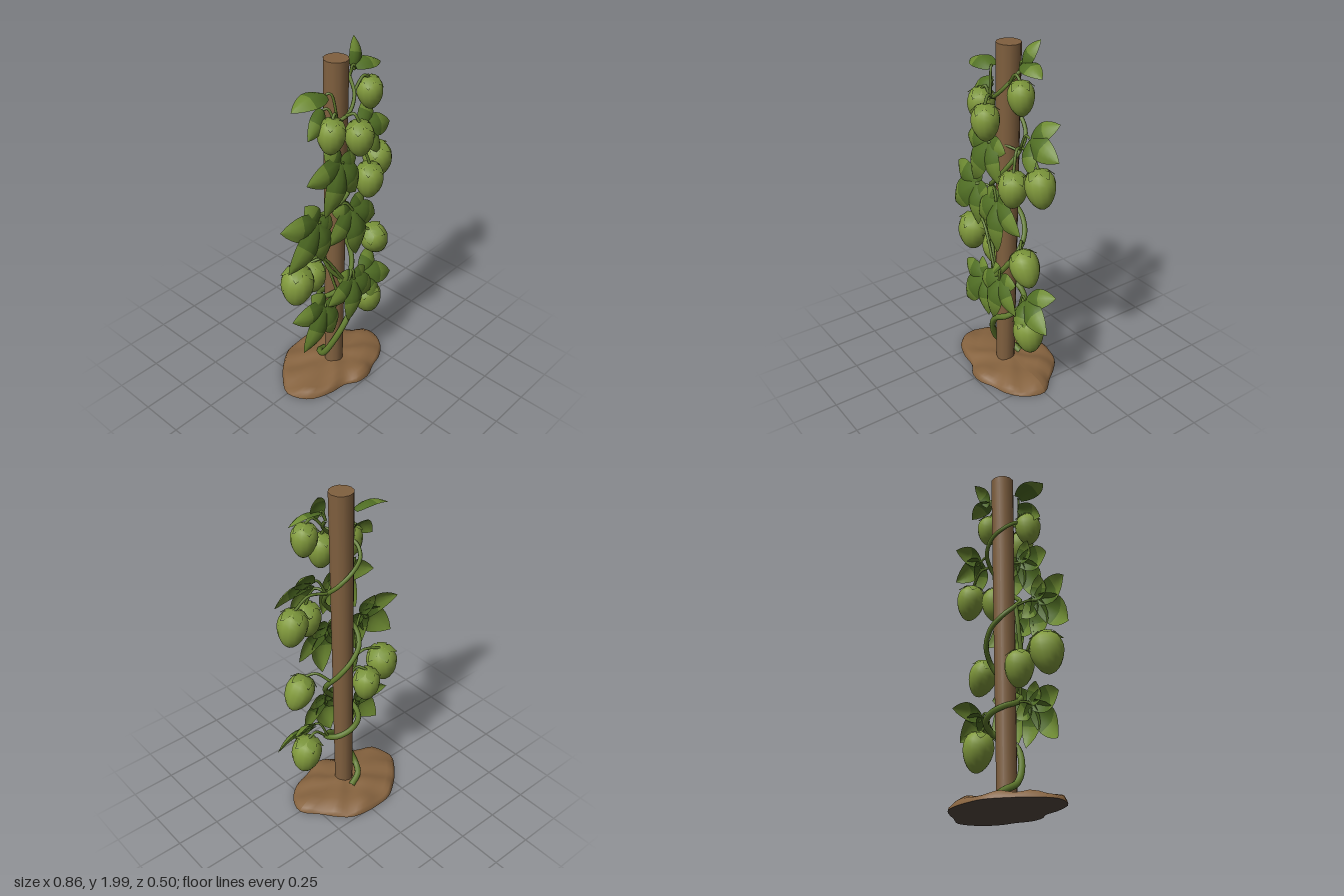
import * as THREE from 'three';

const mat = (name, color, side = THREE.FrontSide) => {
  const m = new THREE.MeshStandardMaterial({ color, side });
  m.name = name;
  return m;
};

function mesh(parent, name, geo, material) {
  const m = new THREE.Mesh(geo, material);
  m.name = name;
  parent.add(m);
  return m;
}

const range = (n, f) => Array.from({ length: n }, (_, i) => f(i));
const vec = (x, y, z) => new THREE.Vector3(x, y, z);

// Joins rows of points (all the same length) into a surface
function loft(rows) {
  const n = rows[0].length, idx = [];
  for (let r = 0; r < rows.length - 1; r++) {
    for (let i = 0; i < n - 1; i++) {
      const a = r * n + i, b = a + n;
      idx.push(a, b, a + 1, b, b + 1, a + 1);
    }
  }
  const g = new THREE.BufferGeometry().setFromPoints(rows.flat());
  g.setIndex(idx);
  g.computeVertexNormals();
  return g;
}

// Tube that narrows from its start to its end
function tube(pts, r, seg, taper = 1) {
  const path = new THREE.CatmullRomCurve3(pts);
  const g = new THREE.TubeGeometry(path, seg, r, 7);
  const pos = g.attributes.position, p = vec(0, 0, 0);
  for (let i = 0; i < pos.count; i++) {
    const t = Math.floor(i / 8) / seg, c = path.getPointAt(t);
    p.fromBufferAttribute(pos, i).sub(c).multiplyScalar(1 + (taper - 1) * t).add(c);
    pos.setXYZ(i, p.x, p.y, p.z);
  }
  return g;
}

// Height of the vine at each quarter turn: back, left, front, right, ...
const turnHeights = [0.055, 0.13, 0.36, 0.44, 0.5, 0.55, 0.64, 0.82, 0.98, 1.1, 1.22, 1.4, 1.53, 1.62, 1.68, 1.82];
function vinePoint(q) {
  const i = Math.min(Math.floor(q), turnHeights.length - 2);
  const y = THREE.MathUtils.lerp(turnHeights[i], turnHeights[i + 1], q - i);
  const a = (q - 1) * Math.PI / 2;
  return vec(-0.1 * Math.cos(a), y, 0.013 + 0.084 * Math.sin(a));
}

export function createModel() {
  const model = new THREE.Group();
  const wood = mat('wood', 0x80603f);
  const soil = mat('soil', 0x86633f);
  const soilBase = mat('dark soil', 0x574a42);
  const vineGreen = mat('vine green', 0x5f7a2c);
  const podGreen = mat('pod green', 0x829b3d);
  const sepalGreen = mat('sepal green', 0x789239, THREE.DoubleSide);
  const leafDark = mat('leaf green', 0x506e24, THREE.DoubleSide);
  const leafLight = mat('light leaf green', 0x6d8a32, THREE.DoubleSide);

  // Soil mound: an uneven outline, one radius every 20 degrees, shrunk and raised in rings
  const radii = [0.335, 0.32, 0.28, 0.24, 0.245, 0.24, 0.225, 0.28, 0.36, 0.39, 0.335, 0.3, 0.285, 0.262, 0.258, 0.265, 0.262, 0.275];
  const outline = new THREE.CatmullRomCurve3(radii.map((r, i) => {
    const a = i * Math.PI / 9;
    return vec(r * Math.cos(a), 0, r * Math.sin(a));
  }), true).getPoints(60);
  const ring = (s, h) => outline.map((p) => {
    const x = p.x * s, z = p.z * s;
    const bump = h > 0.02 ? 0.013 * Math.sin(x * 27 + 1) * Math.cos(z * 31) : 0;
    return vec(x, h + bump, z);
  });
  const moundRows = [ring(1, 0), ring(0.99, 0.012), ring(0.95, 0.028), ring(0.84, 0.04),
    ring(0.65, 0.049), ring(0.4, 0.057), ring(0.2, 0.058), ring(0, 0.058)];
  mesh(model, 'soilMound', loft(moundRows), soil);
  mesh(model, 'moundUnderside', loft([ring(0, 0), ring(1, 0)]), soilBase);

  // Pole: slightly leaning and wider at the top
  const pole = mesh(model, 'pole', new THREE.CylinderGeometry(0.065, 0.053, 1.92, 12), wood);
  pole.position.set(-0.007, 0.985, 0.015);
  pole.rotation.set(-0.005, 0, -0.012);

  // Vine winding up the pole, with a loose side strand
  mesh(model, 'vine', tube(range(31, (i) => vinePoint(i / 2)), 0.019, 180, 0.5), vineGreen);
  mesh(model, 'sideVine', tube(
    [vinePoint(6), vec(-0.1, 0.78, 0.05), vec(-0.115, 0.95, 0.02), vinePoint(9)], 0.012, 30), vineGreen);

  // Stalk arching from the vine to a pod or leaf
  function stalk(name, q, end, rise, r) {
    const root = vinePoint(q);
    const bend = root.clone().lerp(end, 0.6);
    bend.y = Math.max(root.y, end.y) + rise;
    mesh(model, name, tube([root, bend, end], r, 12), vineGreen);
  }

  // Pod: egg-shaped body with five pointed sepals hugging the top
  const podGeo = new THREE.LatheGeometry(range(13, (i) => {
    const a = Math.PI * i / 12;
    return new THREE.Vector2(0.5 * Math.sin(a) * (1 - 0.2 * Math.cos(a)), -0.5 * Math.cos(a));
  }), 14);
  const sepalRow = (r, y, w) => [-1, 0, 1].map((s) => vec(r, y - Math.abs(s) * 0.02, s * w));
  const sepalGeo = loft([sepalRow(0.08, 0.51, 0.08), sepalRow(0.32, 0.45, 0.18),
    sepalRow(0.45, 0.35, 0.09), sepalRow(0.53, 0.3, 0)]);

  // Each pod: centre x, y, z, height, tilt, turn of the vine it grows from
  [
    [0.19, 1.72, 0.07, 0.18, 0.1, 14.6],
    [-0.12, 1.6, 0.095, 0.19, -0.1, 13.6],
    [0.015, 1.56, 0.16, 0.195, 0.05, 13.9],
    [0.165, 1.23, 0.1, 0.205, -0.05, 11.1],
    [0.31, 1.275, 0.035, 0.21, 0.22, 11.1],
    [-0.315, 0.76, 0.03, 0.235, -0.15, 6],
    [-0.155, 0.71, -0.015, 0.205, 0.05, 5.6],
    [0.25, 0.8, 0.08, 0.21, 0.5, 7.2],
    [0.24, 0.37, 0.045, 0.225, 0.2, 2.8],
  ].forEach(([x, y, z, h, tilt, q]) => {
    const pod = new THREE.Group();
    pod.name = 'pod';
    mesh(pod, 'podBody', podGeo, podGreen);
    for (let i = 0; i < 5; i++) mesh(pod, 'sepal', sepalGeo, sepalGreen).rotation.y = i * Math.PI * 0.4;
    pod.scale.set(h * 0.75, h, h * 0.75);
    pod.position.set(x, y, z);
    pod.rotation.z = tilt;
    model.add(pod);
    const top = vec(x - Math.sin(tilt) * h * 0.48, y + Math.cos(tilt) * h * 0.48, z);
    stalk('podStalk', q, top, 0.02, 0.008);
  });

  // Leaf lobe of unit length along x: folded at the rib, dark near the base, lighter at the tip
  const steps = 8, across = [-1, -0.5, 0, 0.5, 1];
  const lobeGeo = loft(range(steps + 1, (i) => {
    const t = i / steps;
    const w = 0.27 * Math.max(0, Math.sin(Math.PI * (0.13 + 0.87 * t))) ** 0.85;
    const bow = 0.13 * Math.sin(Math.PI * t) - 0.12 * t * t;
    return across.map((s) => vec(t, s * w, bow - 0.4 * w * Math.abs(s) ** 1.5));
  }));
  const darkCount = (steps / 2) * (across.length - 1) * 6;
  lobeGeo.addGroup(0, darkCount, 0);
  lobeGeo.addGroup(darkCount, lobeGeo.index.count - darkCount, 1);

  // Each leaf: base x, y, z, direction in degrees, length, lobe count, backward tilt, turn of the vine
  [
    [-0.1, 1.8, 0.04, 178, 0.22, 1, 1.25, 13.6],
    [-0.11, 1.72, 0.03, 218, 0.18, 1, 0.5, 13.5],
    [0.13, 1.85, 0.02, 68, 0.165, 1, 0.3, 15],
    [0.13, 1.87, 0.02, -8, 0.18, 1, 1.2, 15],
    [0.2, 1.5, 0.02, -10, 0.23, 3, 0.5, 11],
    [-0.05, 1.42, 0.105, 243, 0.29, 5, 0.15, 11],
    [-0.2, 1.12, 0.085, 222, 0.3, 5, 0.15, 9],
    [0.03, 1.11, 0.11, 274, 0.29, 5, 0.15, 9.5],
    [0.05, 0.64, 0.11, 259, 0.27, 5, 0.15, 6.3],
    [-0.15, 0.54, 0.08, 231, 0.28, 5, 0.15, 5],
    [0.2, 0.56, 0.04, -22, 0.24, 3, 0.6, 3],
  ].forEach(([x, y, z, angle, size, lobes, tilt, q]) => {
    const leaf = new THREE.Group();
    leaf.name = 'leaf';
    for (let i = 0; i < lobes; i++) {
      const ringNo = Math.ceil(i / 2), sign = i % 2 ? 1 : -1;
      const length = size * [1, 0.8, 0.45][ringNo];
      const lobe = mesh(leaf, 'leafLobe', lobeGeo, [leafDark, leafLight]);
      lobe.scale.set(length, (length + size) / 2, length);
      lobe.rotation.z = THREE.MathUtils.degToRad(angle + sign * ringNo * 54);
      lobe.position.z = -0.003 * i;
    }
    leaf.position.set(x, y, z);
    leaf.rotation.x = -tilt;
    model.add(leaf);
    stalk('leafStalk', q, leaf.position, 0.005, 0.007);
  });

  return model;
}
